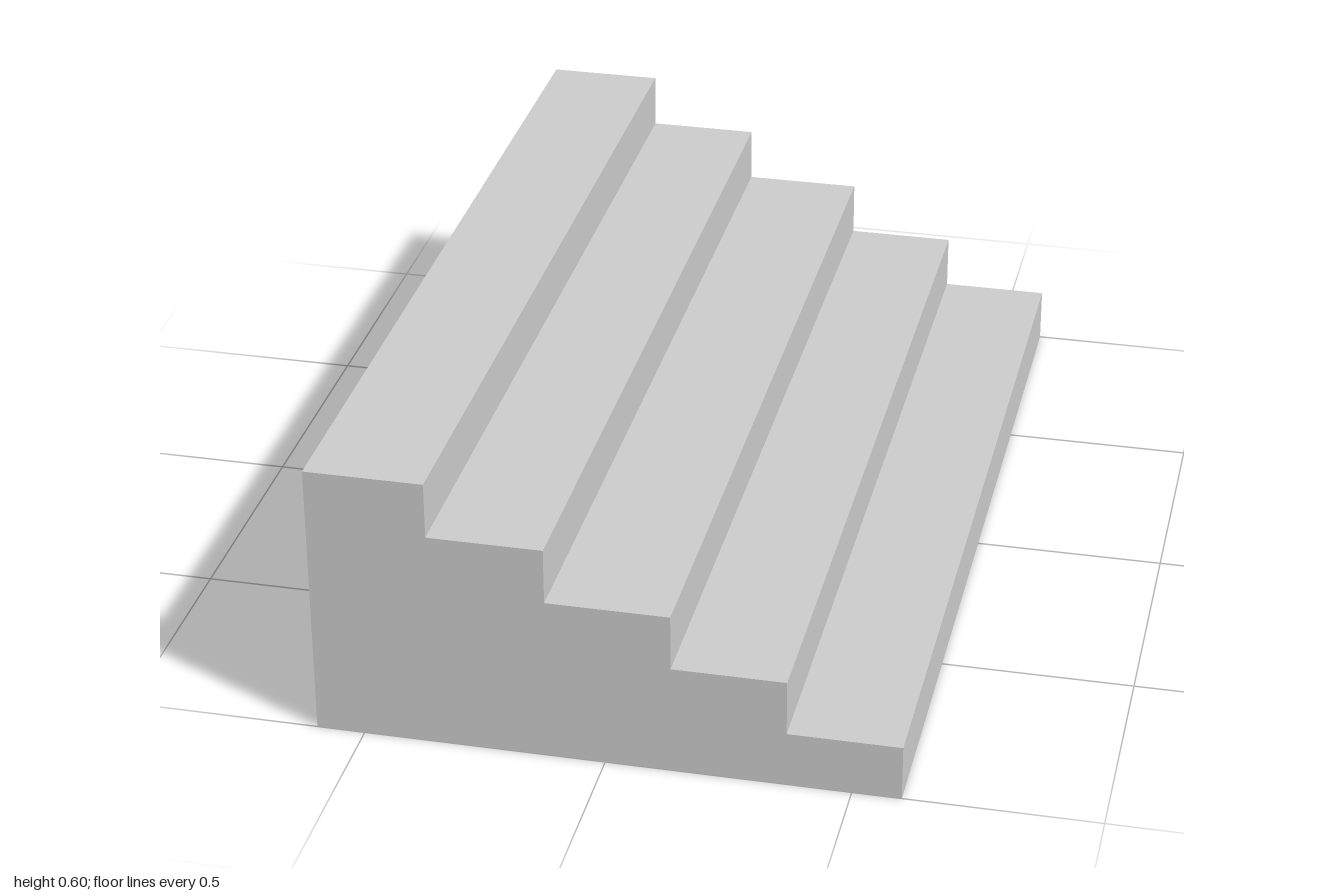
import * as THREE from 'three';

// A straight flight of five steps, stacked from full-depth slabs that share a flush back.
export function createModel() {
  const group = new THREE.Group();
  group.name = 'steps';
  const material = new THREE.MeshStandardMaterial({ color: 0xcccccc });

  const back = -0.6;
  const length = 2;
  const rise = 0.119;
  const noses = [0.6, 0.368, 0.135, -0.118, -0.355]; // front edge of each tread, bottom to top

  noses.forEach((nose, i) => {
    const slab = new THREE.Mesh(new THREE.BoxGeometry(nose - back, rise, length), material);
    slab.position.set((nose + back) / 2, rise * (i + 0.5), 0);
    slab.name = `step${i + 1}`;
    group.add(slab);
  });

  return group;
}
